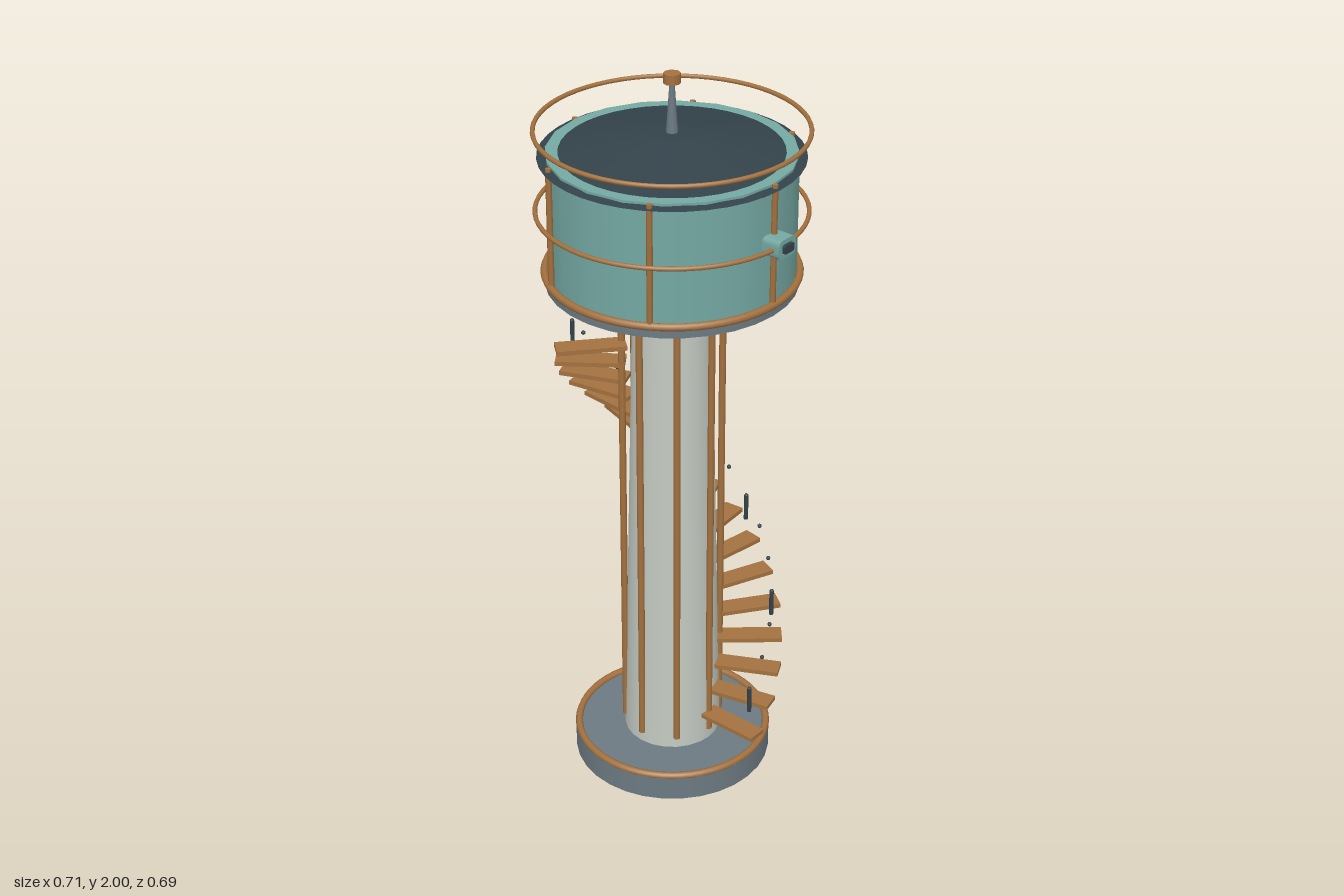
import * as THREE from 'three';

const material = (name, color, side = THREE.FrontSide) => {
  const m = new THREE.MeshStandardMaterial({ color, side });
  m.name = name;
  return m;
};

export function createModel() {
  const copper = material('copper', 0xa3713f);
  const teal = material('teal', 0x74a8a2);
  const slate = material('dark slate', 0x33424a, THREE.DoubleSide);
  const stone = material('pale stone', 0xc3c9c1);
  const steel = material('grey steel', 0x6c7a82);

  const model = new THREE.Group();
  model.name = 'waterTower';
  const tower = new THREE.Group();
  tower.name = 'tower';
  tower.position.x = -0.01;
  model.add(tower);

  const add = (name, geometry, mat, x = 0, y = 0, z = 0, parent = tower) => {
    const mesh = new THREE.Mesh(geometry, mat);
    mesh.name = name;
    mesh.position.set(x, y, z);
    parent.add(mesh);
    return mesh;
  };
  // upright cylinder between two heights
  const column = (name, rTop, rBottom, y0, y1, sides, mat) =>
    add(name, new THREE.CylinderGeometry(rTop, rBottom, y1 - y0, sides), mat, 0, (y0 + y1) / 2);
  // horizontal ring
  const ring = (name, radius, tube, y) =>
    add(name, new THREE.TorusGeometry(radius, tube, 8, 64).rotateX(Math.PI / 2), copper, 0, y);

  // Foundation and shaft
  column('base', 0.27, 0.27, 0, 0.07, 32, steel);
  ring('baseRing', 0.261, 0.01, 0.073);
  column('shaft', 0.1, 0.132, 0.07, 1.47, 24, stone);
  for (let i = 0; i < 8; i++) {
    const a = i * Math.PI / 4;
    add('shaftPipe', new THREE.CylinderGeometry(0.009, 0.009, 1.3, 8), copper,
      0.13 * Math.cos(a), 0.75, 0.13 * Math.sin(a));
  }

  // Tank with its floor, hoops and ribs
  column('tankFloor', 0.32, 0.32, 1.45, 1.478, 32, steel);
  column('tank', 0.312, 0.312, 1.478, 1.8, 20, teal);
  ring('tankBottomRing', 0.32, 0.01, 1.48);
  ring('tankMiddleRing', 0.339, 0.006, 1.645);
  ring('crownRing', 0.339, 0.006, 1.857);
  for (let i = 0; i < 6; i++) {
    const a = i * Math.PI / 3;
    add('tankRib', new THREE.CylinderGeometry(0.008, 0.008, 0.32, 6), copper,
      0.317 * Math.cos(a), 1.64, 0.317 * Math.sin(a));
  }

  // Shallow roof: an open cone crossing the tank rim, with a flat cap
  const slope = [new THREE.Vector2(0.332, 1.789), new THREE.Vector2(0.052, 1.848)];
  add('roof', new THREE.LatheGeometry(slope, 40), slate);
  add('roofCap', new THREE.CircleGeometry(0.052, 40).rotateX(-Math.PI / 2), slate, 0, 1.848);

  // Mast and finial
  column('mast', 0.006, 0.015, 1.848, 1.98, 8, steel);
  column('finial', 0.022, 0.022, 1.975, 2, 8, copper);

  // Side hatch: a rounded frame around a dark pane
  const roundedRect = (Type, w, h, r) => {
    const s = new Type(), x = w / 2, y = h / 2;
    s.moveTo(-x + r, -y);
    s.lineTo(x - r, -y).quadraticCurveTo(x, -y, x, -y + r);
    s.lineTo(x, y - r).quadraticCurveTo(x, y, x - r, y);
    s.lineTo(-x + r, y).quadraticCurveTo(-x, y, -x, y - r);
    s.lineTo(-x, -y + r).quadraticCurveTo(-x, -y, -x + r, -y);
    return s;
  };
  const extrude = (shape, depth) =>
    new THREE.ExtrudeGeometry(shape, { depth, bevelEnabled: false, curveSegments: 4 }).rotateY(Math.PI / 2);
  const frame = roundedRect(THREE.Shape, 0.066, 0.05, 0.016);
  frame.holes.push(roundedRect(THREE.Path, 0.04, 0.026, 0.006));
  add('hatchFrame', extrude(frame, 0.052), teal, 0.306, 1.647);
  add('hatchPane', extrude(roundedRect(THREE.Shape, 0.036, 0.022, 0.005), 0.059), slate, 0.306, 1.647);

  // Spiral stair climbing around the back, a post on every third step
  const stair = new THREE.Group();
  stair.name = 'spiralStair';
  tower.add(stair);
  const tread = new THREE.BoxGeometry(0.18, 0.012, 0.055);
  const post = new THREE.CylinderGeometry(0.006, 0.006, 0.075, 8);
  const knob = new THREE.SphereGeometry(0.006, 8, 6);
  for (let i = 0; i < 18; i++) {
    const step = new THREE.Group();
    step.name = 'step';
    step.position.y = 0.155 + i * 0.0659;
    step.rotation.y = THREE.MathUtils.degToRad(i * 13.5);
    stair.add(step);
    add('tread', tread, copper, 0.21, 0, 0, step);
    add('railKnob', knob, slate, 0.27, 0.145, 0, step);
    if (i % 3 === 0) add('railPost', post, slate, 0.27, 0.107, 0, step);
  }
  return model;
}
